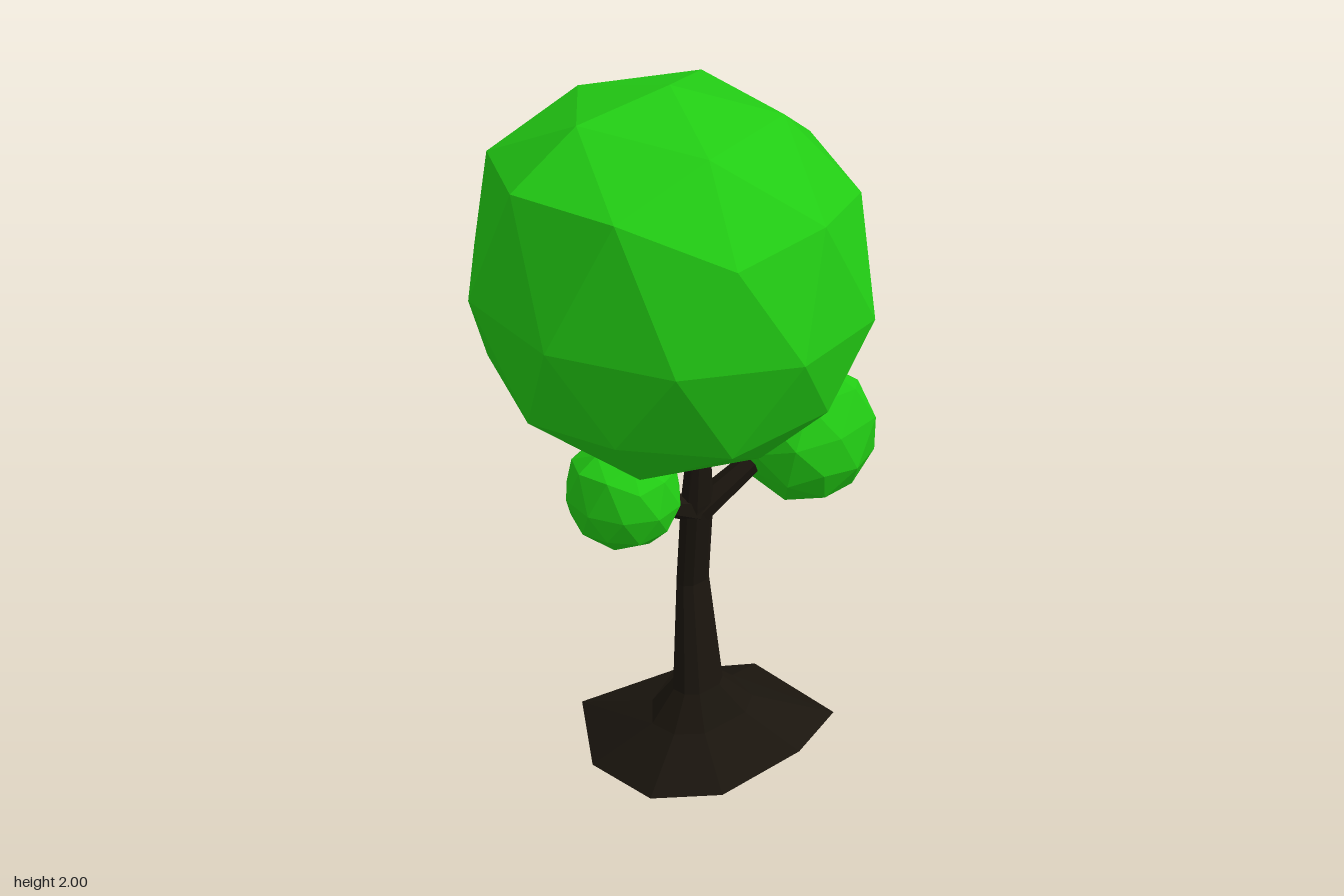
import * as THREE from 'three';

const leafMat = new THREE.MeshStandardMaterial({ color: 0x22cc14, flatShading: true });
const barkMat = new THREE.MeshStandardMaterial({ color: 0x1a150e, flatShading: true });

// Faceted ball of leaves, radius 0.5: flat underside, fuller upper front, sagging back corner
function leafGeometry() {
  const geo = new THREE.IcosahedronGeometry(0.5, 1);
  geo.rotateZ(-Math.atan(2 / (1 + Math.sqrt(5)))); // one corner straight up
  geo.rotateY(THREE.MathUtils.degToRad(-22));
  const p = geo.attributes.position;
  for (let i = 0; i < p.count; i++) {
    const x = p.getX(i), z = p.getZ(i);
    let y = p.getY(i);
    if (y > 0.1 && z > 0) y += 0.65 * z * z;
    if (Math.abs(y) < 0.1) y += 0.07 * z - 0.015;
    if (x < -0.35 && z < 0) y -= 0.05;
    p.setXYZ(i, x * 1.03, Math.max(y, -0.44), z);
  }
  geo.computeVertexNormals();
  return geo;
}

// Skin through rings of [x, y, z] points, closed at both ends
function loft(rings) {
  const n = rings[0].length, pos = rings.flat(2), index = [];
  rings.slice(1).forEach((_, j) => {
    for (let k = 0; k < n; k++) {
      const a = j * n + k, b = j * n + (k + 1) % n;
      index.push(a, a + n, b, b, a + n, b + n);
    }
  });
  const last = (rings.length - 1) * n;
  for (let k = 1; k < n - 1; k++) {
    index.push(0, k, k + 1, last, last + k + 1, last + k);
  }
  const geo = new THREE.BufferGeometry();
  geo.setAttribute('position', new THREE.Float32BufferAttribute(pos, 3));
  geo.setIndex(index);
  const flat = geo.toNonIndexed();
  flat.computeVertexNormals();
  return flat;
}

function trunkGeometry() {
  // Spread of the roots on the ground, x and z
  const foot = [[0.222, 0.07], [0.1, 0.22], [-0.11, 0.25], [-0.33, 0.11],
    [-0.273, -0.185], [-0.15, -0.385], [0.16, -0.403], [0.225, -0.21]];
  // Trunk sections: y, centre x, centre z, half width, half depth
  const sections = [
    [0.12, -0.005, -0.05, 0.12, 0.158],
    [0.215, 0, -0.033, 0.06, 0.076],
    [0.52, -0.05, -0.058, 0.037, 0.05],
    [0.78, -0.027, -0.053, 0.036, 0.05],
    [1.1, 0, -0.04, 0.02, 0.02],
  ];
  const rings = sections.map(([y, cx, cz, rx, rz]) => foot.map(([fx, fz]) => {
    const a = Math.atan2(fz + 0.08, fx + 0.05);
    return [cx + rx * Math.cos(a), y, cz + rz * Math.sin(a)];
  }));
  // The root tips lift slightly at the sides
  const rim = foot.map(([x, z]) => [x, 0.06 * (Math.abs(x) - 0.1), z]);
  return loft([rim, ...rings]);
}

export function createModel() {
  const tree = new THREE.Group();
  tree.name = 'tree';

  const add = (name, geo, mat) => {
    const mesh = new THREE.Mesh(geo, mat);
    mesh.name = name;
    tree.add(mesh);
    return mesh;
  };

  add('trunk', trunkGeometry(), barkMat);

  // Short side branches
  const branch = (name, from, to, r0, r1) => {
    const a = new THREE.Vector3(...from), b = new THREE.Vector3(...to);
    const dir = b.clone().sub(a);
    const mesh = add(name, new THREE.CylinderGeometry(r1, r0, dir.length(), 6), barkMat);
    mesh.position.copy(a).add(b).multiplyScalar(0.5);
    mesh.quaternion.setFromUnitVectors(new THREE.Vector3(0, 1, 0), dir.normalize());
  };
  branch('frontBranch', [-0.03, 0.76, -0.05], [-0.045, 0.83, 0.1], 0.04, 0.024);
  branch('backBranch', [-0.03, 0.75, -0.06], [0.015, 0.87, -0.24], 0.04, 0.028);

  // Leaf balls: name, position, size, tilt about x, spin about own axis
  const leaf = leafGeometry();
  [
    ['crown', [0, 1.5, 0.055], 1, 0, 0],
    ['frontLeaves', [-0.055, 0.892, 0.17], 0.3, 0, 0],
    ['backLeaves', [0.04, 0.9, -0.365], 0.375, -1.08, 0.92],
  ].forEach(([name, pos, size, tilt, spin]) => {
    const mesh = add(name, leaf, leafMat);
    mesh.position.set(...pos);
    mesh.scale.setScalar(size);
    mesh.rotation.set(tilt, spin, 0);
  });

  return tree;
}
